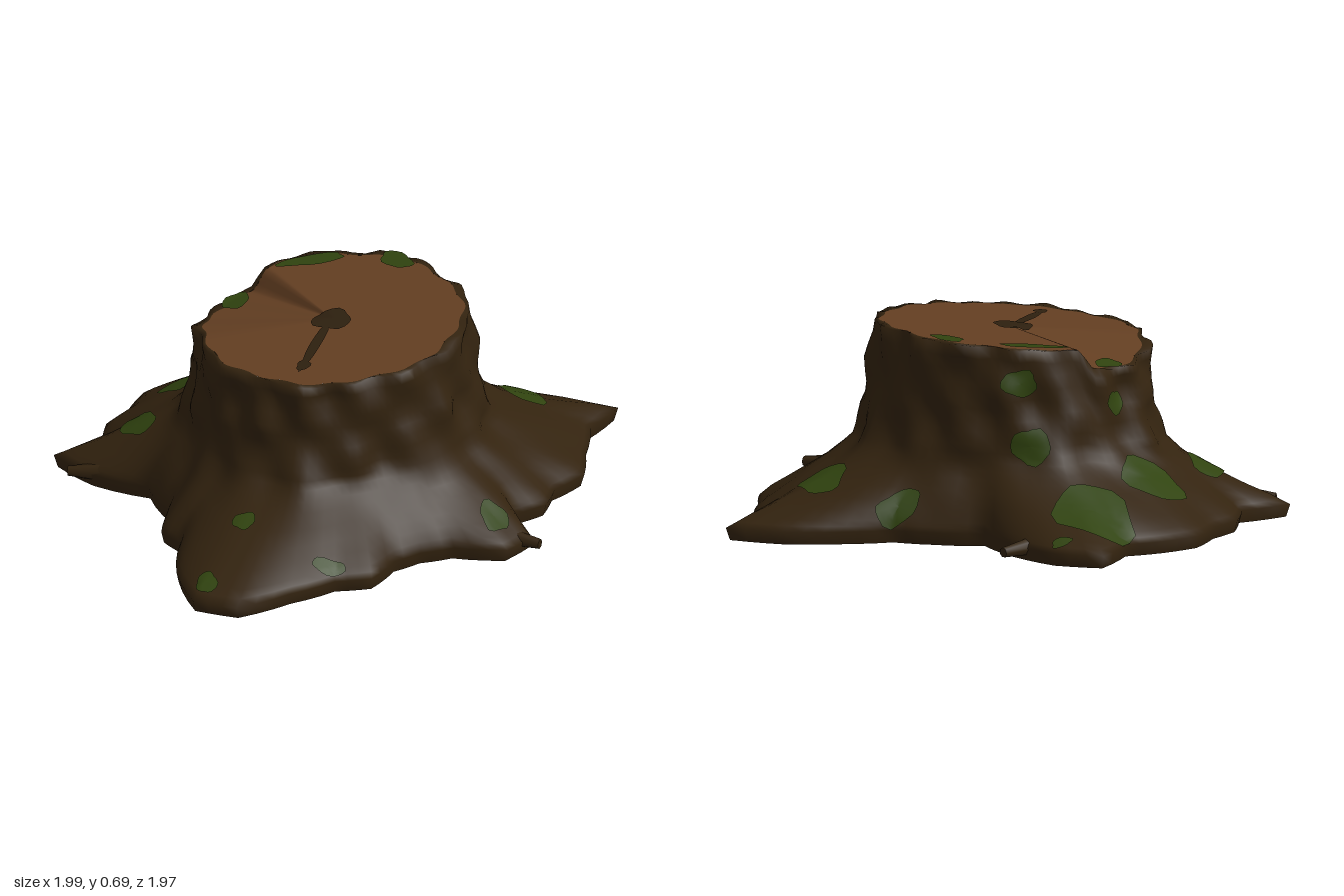
import * as THREE from 'three';

const CX = -0.07; // trunk axis, z = 0
const TAU = Math.PI * 2;
const deg = (d) => (d * Math.PI) / 180;

// Ground outline of the roots (x, z), ordered by rising angle
const OUTLINE = [
  [0.82, 0], [0.79, 0.15], [0.67, 0.25], [0.62, 0.36], [0.49, 0.42], [0.53, 0.6], [0.43, 0.69], [0.25, 0.64],
  [0.13, 0.66], [0.03, 0.71], [-0.07, 0.83], [-0.2, 0.83], [-0.37, 0.9], [-0.57, 0.98], [-0.71, 0.9],
  [-0.73, 0.67], [-0.68, 0.45], [-0.73, 0.35], [-0.68, 0.2], [-0.72, 0], [-0.9, -0.13], [-1, -0.3],
  [-0.82, -0.37], [-0.78, -0.51], [-0.69, -0.6], [-0.61, -0.73], [-0.48, -0.79], [-0.34, -0.82],
  [-0.23, -0.99], [-0.07, -0.92], [0.05, -0.76], [0.12, -0.58], [0.3, -0.53], [0.43, -0.47], [0.6, -0.47],
  [0.81, -0.44], [0.99, -0.34], [0.87, -0.2],
].map(([x, z]) => ({ a: (Math.atan2(z, x - CX) + TAU) % TAU, r: Math.hypot(x - CX, z) }));

// Trunk profile: spread from rim (0) to outline (1), and height
const PROFILE = [[0, 0.65], [0.012, 0.57], [0.045, 0.48], [0.075, 0.41], [0.13, 0.33], [0.19, 0.27],
  [0.35, 0.215], [0.64, 0.145], [0.9, 0.08], [1, 0.045]];

function outlineRadius(angle) {
  const a = ((angle % TAU) + TAU) % TAU;
  const n = OUTLINE.length;
  let i = n - 1;
  while (i > 0 && OUTLINE[i].a > a) i--;
  const p = OUTLINE[i], q = OUTLINE[(i + 1) % n];
  const end = i === n - 1 ? q.a + TAU : q.a;
  return THREE.MathUtils.lerp(p.r, q.r, (a - p.a) / (end - p.a));
}

const softRadius = (a) =>
  (outlineRadius(a - 0.24) + outlineRadius(a - 0.12) + outlineRadius(a) + outlineRadius(a + 0.12) + outlineRadius(a + 0.24)) / 5;

// Look up a value in the profile, from one column to the other
function profile(v, from, to) {
  for (let i = 1; i < PROFILE.length; i++) {
    const p = PROFILE[i - 1], q = PROFILE[i];
    const k = (v - p[from]) / (q[from] - p[from]);
    if (k <= 1) return THREE.MathUtils.lerp(p[to], q[to], Math.max(k, 0));
  }
  return PROFILE[PROFILE.length - 1][to];
}

// Height of the sloping cut, with one split-off lower sector at the back
function cutHeight(x, z) {
  const a = ((Math.atan2(z, x - CX) + TAU) % TAU) * (180 / Math.PI);
  const s = THREE.MathUtils.smoothstep;
  const dip = 0.07 * s(a, 175, 225) * (1 - s(a, 241, 249));
  return 0.65 + 0.08 * x - 0.045 * z - dip * Math.min(1, Math.hypot(x - CX, z) / 0.45);
}

const rimRadius = (a) => 0.45 + 0.007 * Math.sin(17 * a) + 0.005 * Math.sin(7 * a + 1);

function trunkRadius(a, t) {
  const y = profile(t, 0, 1);
  const reach = THREE.MathUtils.lerp(softRadius(a), outlineRadius(a), t * t);
  const fade = 1 - t;
  const bumps = fade * (0.008 * Math.sin(9 * a + 14 * y) + 0.007 * Math.sin(14 * a - 23 * y) + 0.005 * Math.sin(38 * y + 4 * a));
  const r0 = rimRadius(a) + 0.022;
  return r0 + t * (reach - r0) + bumps;
}

function trunkPoint(a, t) {
  const y = profile(t, 0, 1), r = trunkRadius(a, t);
  const rim = cutHeight(CX + 0.45 * Math.cos(a), 0.45 * Math.sin(a)) + 0.004 * Math.sin(23 * a);
  return [CX + r * Math.cos(a), y + (rim - 0.65) * (y / 0.65) ** 2, r * Math.sin(a)];
}

// Drop an (x, z) position onto the bark
function onRoots(x, z) {
  const a = Math.atan2(z, x - CX), r = Math.hypot(x - CX, z);
  let lo = 0, hi = 1;
  for (let i = 0; i < 20; i++) {
    const mid = (lo + hi) / 2;
    if (trunkRadius(a, mid) < r) lo = mid; else hi = mid;
  }
  return trunkPoint(a, lo);
}
const onWall = (a, y) => trunkPoint(a, profile(y, 1, 0));
const onCut = (x, z) => [x, cutHeight(x, z), z];

// Grid of rows, closed around its columns
function ringGrid(rows, cols, fn) {
  const pos = [], idx = [];
  for (let i = 0; i < rows; i++) for (let j = 0; j < cols; j++) pos.push(...fn(i, j));
  for (let i = 0; i < rows - 1; i++) {
    for (let j = 0; j < cols; j++) {
      const k = (j + 1) % cols, a = i * cols + j, b = i * cols + k;
      idx.push(a, b, a + cols, b, b + cols, a + cols);
    }
  }
  const g = new THREE.BufferGeometry();
  g.setAttribute('position', new THREE.Float32BufferAttribute(pos, 3));
  g.setIndex(idx);
  g.computeVertexNormals();
  return g;
}

// Irregular thin patch laid on a surface and lifted along its normals
function patchGeometry(map, cx, cz, rx, rz, rot, lift) {
  const g = ringGrid(6, 18, (i, j) => {
    const a = (j / 18) * TAU;
    const k = (i / 5) * (1 + 0.09 * Math.sin(3 * a + cx * 20) + 0.06 * Math.sin(5 * a + cz * 30));
    const u = k * rx * Math.cos(a), v = k * rz * Math.sin(a);
    return map(cx + u * Math.cos(rot) - v * Math.sin(rot), cz + u * Math.sin(rot) + v * Math.cos(rot));
  });
  const p = g.attributes.position, n = g.attributes.normal;
  for (let i = 0; i < p.count; i++) {
    p.setXYZ(i, p.getX(i) + n.getX(i) * lift, Math.max(0, p.getY(i) + n.getY(i) * lift), p.getZ(i) + n.getZ(i) * lift);
  }
  return g;
}

export function createModel() {
  const group = new THREE.Group();
  const mat = (name, color) => new THREE.MeshStandardMaterial({ name, color, side: THREE.DoubleSide });
  const bark = mat('bark', 0x33230f);
  const wood = mat('cutWood', 0x643f22);
  const moss = mat('moss', 0x30430f);
  const pith = mat('pith', 0x2e200f);
  const add = (name, geometry, material) => {
    const m = new THREE.Mesh(geometry, material);
    m.name = name;
    group.add(m);
    return m;
  };

  // Hollow trunk flaring into roots: lip, profile rows, then the ground edge
  const spread = [];
  PROFILE.forEach(([t], i) => {
    if (i) spread.push((t + PROFILE[i - 1][0]) / 2);
    spread.push(t);
  });
  const angles = OUTLINE.flatMap((p, i) => {
    const next = i + 1 < OUTLINE.length ? OUTLINE[i + 1].a : OUTLINE[0].a + TAU;
    return [0, 1 / 3, 2 / 3].map((k) => THREE.MathUtils.lerp(p.a, next, k));
  });
  const rows = spread.length + 2;
  add('trunkAndRoots', ringGrid(rows, angles.length, (i, j) => {
    const a = angles[j];
    if (i === 0) return onCut(CX + rimRadius(a) * Math.cos(a), rimRadius(a) * Math.sin(a));
    if (i < rows - 1) return trunkPoint(a, spread[i - 1]);
    const [x, , z] = trunkPoint(a, 1);
    return [CX + (x - CX) * 0.985, 0, z * 0.985];
  }), bark);

  // Sawn face
  add('cutFace', ringGrid(10, 180, (i, j) => {
    const a = (j / 180) * TAU, r = (rimRadius(a) * i) / 9;
    return onCut(CX + r * Math.cos(a), r * Math.sin(a));
  }), wood);

  // Dark heart and the crack running from it
  add('heart', patchGeometry(onCut, -0.075, 0.01, 0.068, 0.07, 0, 0.005), pith);
  add('crack', patchGeometry(onCut, -0.165, 0.18, 0.019, 0.16, 0.46, 0.004), pith);
  add('crackEnd', patchGeometry(onCut, -0.222, 0.3, 0.024, 0.035, 0.4, 0.006), pith);

  // Moss on roots (x, z, radii), shown on both faces of the thin bark
  const rootMoss = [[-0.24, -0.75, 0.14, 0.135], [-0.48, -0.5, 0.11, 0.1], [-0.71, -0.23, 0.06, 0.085],
    [0.63, -0.24, 0.08, 0.085], [0.4, -0.45, 0.08, 0.03], [0.4, 0.57, 0.05, 0.06], [-0.48, 0.6, 0.04, 0.04],
    [-0.65, 0.84, 0.035, 0.05], [-0.22, 0.8, 0.06, 0.025], [-0.1, -0.89, 0.035, 0.02]];
  // Moss on the upright back (angle, height, radii)
  const wallMoss = [[deg(272), 0.33, 0.13, 0.06], [deg(276), 0.54, 0.13, 0.045], [deg(232), 0.5, 0.1, 0.05]];
  for (const lift of [0.008, -0.008]) {
    for (const m of rootMoss) add('rootMoss', patchGeometry(onRoots, ...m, 0, lift), moss);
    for (const m of wallMoss) add('trunkMoss', patchGeometry(onWall, ...m, 0, lift), moss);
  }
  // Moss creeping over the rim
  for (const m of [[-0.075, -0.415, 0.12, 0.035, 0], [-0.355, -0.325, 0.045, 0.065, 0.5], [0.21, -0.33, 0.045, 0.07, -0.5]]) {
    add('rimMoss', patchGeometry(onCut, ...m, 0.007), moss);
  }

  // Small pointed rootlets poking out near the ground
  const up = new THREE.Vector3(0, 1, 0);
  for (const [x0, z0, x1, z1] of [[-0.04, -0.76, 0.1, -0.85], [0.42, 0.56, 0.55, 0.65], [-0.85, -0.14, -0.97, -0.18]]) {
    const from = new THREE.Vector3(x0, 0.045, z0), to = new THREE.Vector3(x1, 0.04, z1);
    const dir = to.clone().sub(from);
    const c = add('rootlet', new THREE.CylinderGeometry(0.018, 0.035, dir.length(), 7), bark);
    c.position.copy(from).addScaledVector(dir, 0.5);
    c.quaternion.setFromUnitVectors(up, dir.normalize());
  }
  return group;
}
